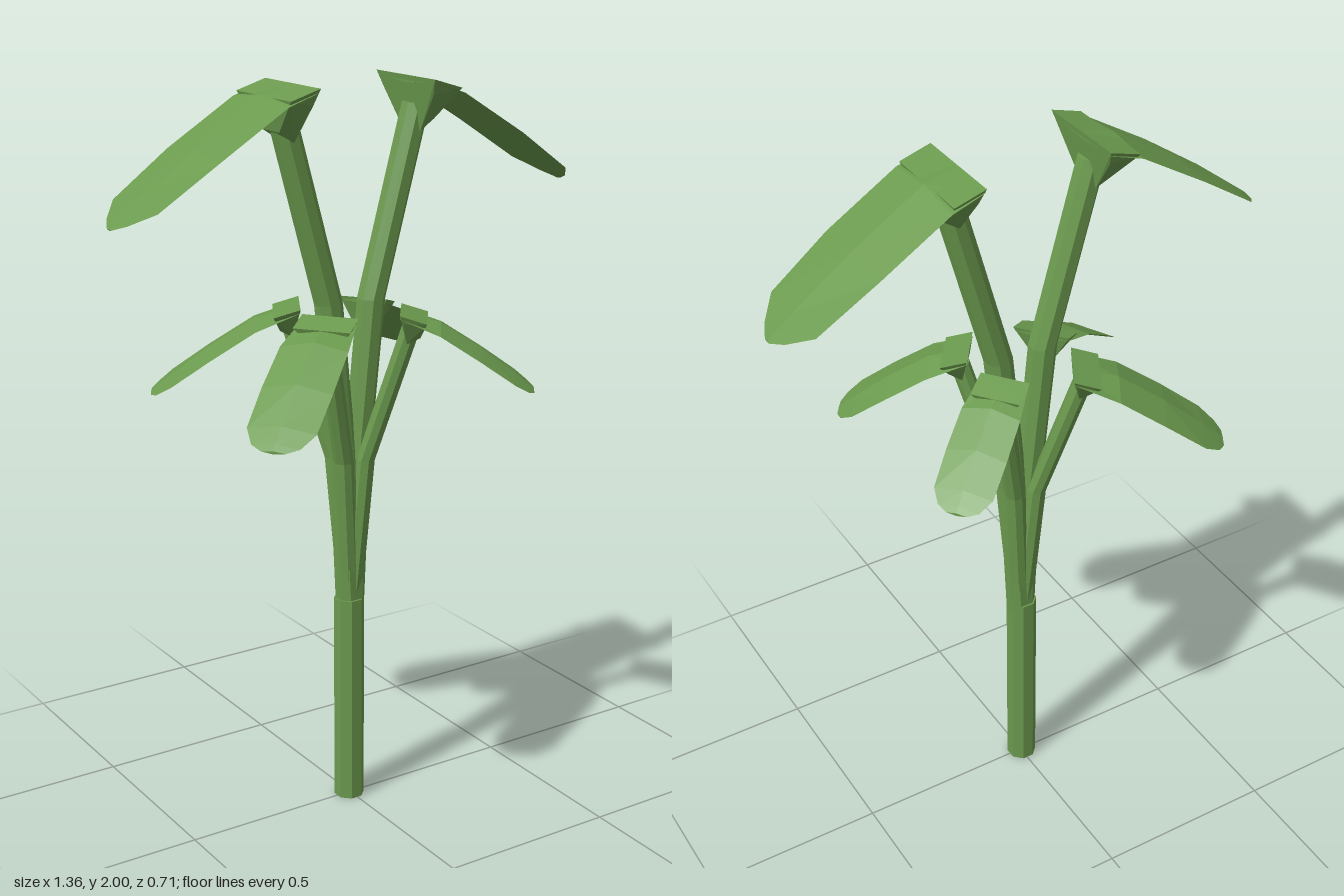
import * as THREE from 'three';
import { ConvexGeometry } from 'three/addons/geometries/ConvexGeometry.js';

const green = new THREE.MeshStandardMaterial({ color: 0x6b9a4e });
green.name = 'leafGreen';

const V = (x, y, z) => new THREE.Vector3(x, y, z);

// Skin a list of equal-sized rings into a closed, faceted solid
function loft(rings) {
  const pos = [];
  const tri = (...pts) => pts.forEach((p) => pos.push(p.x, p.y, p.z));
  const n = rings[0].length;
  const last = rings[rings.length - 1];
  for (let i = 0; i < rings.length - 1; i++) {
    for (let j = 0; j < n; j++) {
      const k = (j + 1) % n;
      const [a, b, c, d] = [rings[i][j], rings[i][k], rings[i + 1][k], rings[i + 1][j]];
      tri(a, b, c);
      tri(a, c, d);
    }
  }
  for (let j = 1; j < n - 1; j++) {
    tri(rings[0][0], rings[0][j + 1], rings[0][j]);
    tri(last[0], last[j], last[j + 1]);
  }
  const geo = new THREE.BufferGeometry();
  geo.setAttribute('position', new THREE.Float32BufferAttribute(pos, 3));
  geo.computeVertexNormals();
  return geo;
}

function part(name, geo) {
  const mesh = new THREE.Mesh(geo, green);
  mesh.name = name;
  return mesh;
}

// Eight-sided stalk through sections [x, y, z, radius]
function stalk(name, sections) {
  const rings = sections.map(([x, y, z, r]) =>
    Array.from({ length: 8 }, (_, j) => {
      const t = ((j + 0.5) / 8) * Math.PI * 2;
      return V(x + r * Math.sin(t), y, z + r * Math.cos(t));
    }));
  return part(name, loft(rings));
}

// Thin blade growing along +x, sections [x, y, halfWidth, halfThickness]
function blade(sections, v) {
  return part('leafBlade', loft(sections.map(([x, y, w, t]) =>
    [V(x, y + t, v), V(x, y, v + w), V(x, y - t, v), V(x, y, v - w)])));
}

// Wedge that widens from the stalk to the leaf base
function leafBase(x, y, v, w, length, drop, neck) {
  const pts = [];
  for (const s of [-1, 1]) {
    pts.push(V(x, y, v + s * w), V(x + 0.01, y - drop * 0.3, v + s * w * 0.85));
    pts.push(V(x + length, y - length * 0.3, v + s * w));
    pts.push(V(x + length * 0.25, y - drop, v + s * neck));
    pts.push(V(x + length * 0.75, y - drop * 0.8, v + s * neck));
  }
  return part('leafBase', new ConvexGeometry(pts));
}

export function createModel() {
  const model = new THREE.Group();
  model.name = 'plant';

  // Main stem
  model.add(stalk('mainStem', [[-0.003, 0, 0, 0.042], [-0.003, 0.6, 0, 0.042]]));

  // Two tall branches with large drooping leaves
  for (const side of [1, -1]) {
    const branch = new THREE.Group();
    branch.name = side > 0 ? 'leftTallBranch' : 'rightTallBranch';
    branch.add(stalk('tallStalk', [
      [0, 0.5, 0, 0.036], [0.022, 1, 0, 0.037], [0.066, 1.43, 0, 0.038], [0.203, 1.93, 0, 0.038],
    ]));
    branch.add(blade([
      [0.17, 1.99, 0.13, 0.01], [0.26, 1.962, 0.135, 0.015], [0.45, 1.846, 0.135, 0.013],
      [0.61, 1.738, 0.118, 0.007], [0.66, 1.704, 0.055, 0.004], [0.68, 1.69, 0.012, 0.002],
    ], 0));
    branch.add(leafBase(0.168, 2, 0, 0.132, 0.085, 0.14, 0.04));
    branch.rotation.y = side > 0 ? 0 : Math.PI;
    model.add(branch);
  }

  // Four short branches: outward direction, sideways shift, leaf start, length, half width
  const shortBranches = [
    ['frontRight', -0.79, 0.61, 0.01, 0.12, 0.405, 0.091],
    ['backRight', -0.87, -0.49, 0.045, 0.13, 0.395, 0.095],
    ['backLeft', 0.79, -0.61, 0, 0.105, 0.325, 0.078],
    ['frontLeft', 0.81, 0.59, 0.03, 0.133, 0.35, 0.085],
  ];
  for (const [name, dx, dz, v, u, len, w] of shortBranches) {
    const branch = new THREE.Group();
    branch.name = name + 'ShortBranch';
    const end = u + 0.028;
    branch.add(stalk('shortStalk', [
      [0, 0.52, 0, 0.028], [0.042, 1, v * 0.3, 0.027], [end, 1.37, v, 0.027],
    ]));
    const drop = 0.57 * len;
    branch.add(blade([
      [u, 1.405, w * 0.8, 0.008], [u + len * 0.3, 1.405 - drop * 0.2, w, 0.018],
      [u + len * 0.6, 1.405 - drop * 0.53, w * 1.03, 0.018],
      [u + len * 0.86, 1.405 - drop * 0.84, w, 0.012],
      [u + len * 0.96, 1.405 - drop * 0.96, w * 0.7, 0.008],
      [u + len, 1.405 - drop, w * 0.35, 0.004],
    ], v));
    branch.add(leafBase(u, 1.415, v, w * 0.85, 0.07, 0.085, 0.028));
    branch.rotation.y = Math.atan2(-dz, dx);
    model.add(branch);
  }
  return model;
}
